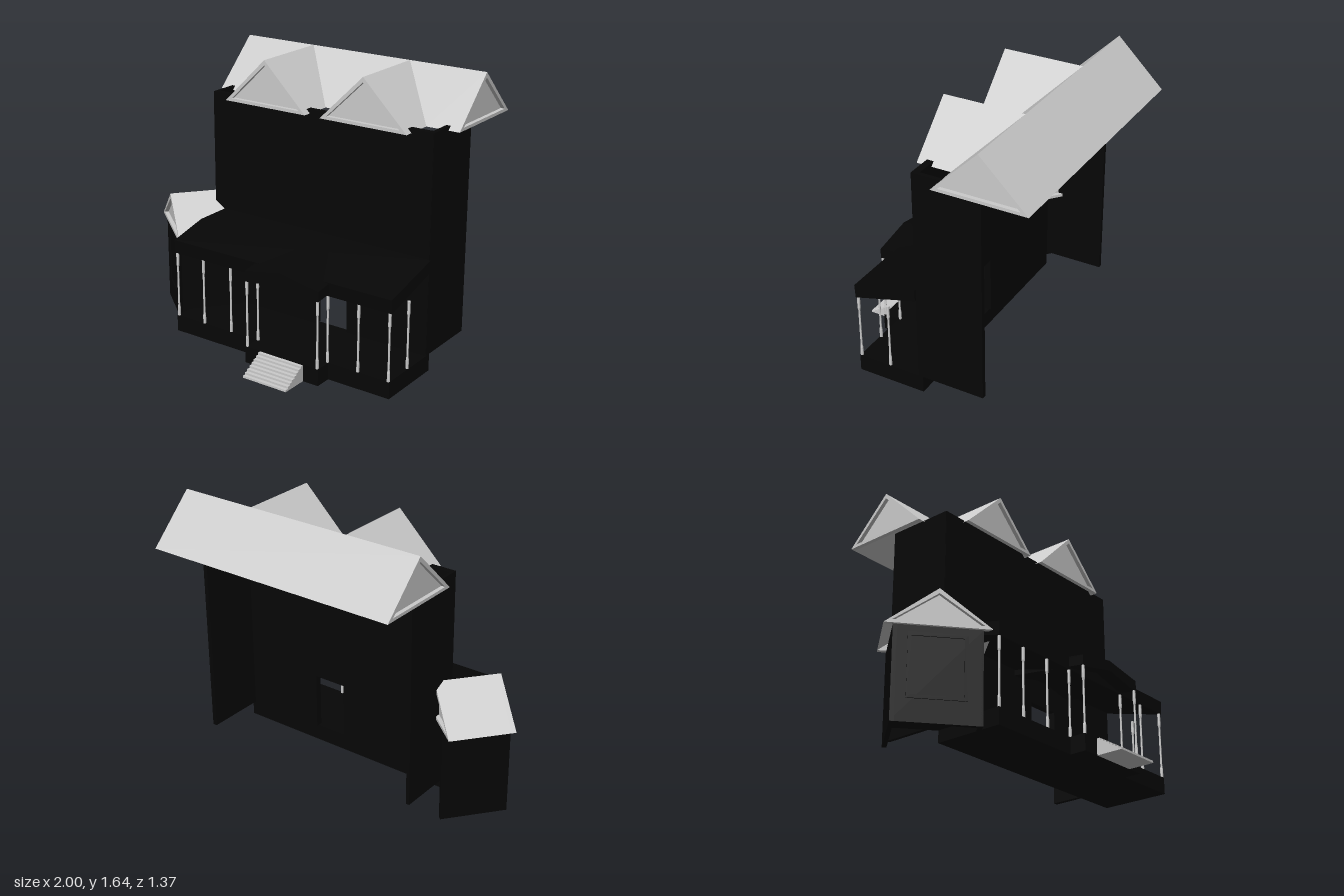
import * as THREE from 'three';

const grey = new THREE.MeshStandardMaterial({ color: 0xcccccc, flatShading: true, side: THREE.DoubleSide });
const dark = new THREE.MeshStandardMaterial({ color: 0x060606, flatShading: true, side: THREE.DoubleSide });

function add(parent, name, geometry, material = dark) {
  const mesh = new THREE.Mesh(geometry, material);
  mesh.name = name;
  parent.add(mesh);
  return mesh;
}

// Box given by its limits on each axis
function box(parent, name, [x0, x1], [y0, y1], [z0, z1], material) {
  const mesh = add(parent, name, new THREE.BoxGeometry(x1 - x0, y1 - y0, z1 - z0), material);
  mesh.position.set((x0 + x1) / 2, (y0 + y1) / 2, (z0 + z1) / 2);
  return mesh;
}

const outline = (pts) => new THREE.Shape(pts.map(([x, y]) => new THREE.Vector2(x, y)));

function extrude(pts, depth, holes = []) {
  const shape = outline(pts);
  holes.forEach((h) => shape.holes.push(outline(h)));
  return new THREE.ExtrudeGeometry(shape, { depth, bevelEnabled: false });
}

// Flat convex sheet through a few corners
function sheet(parent, name, corners) {
  const pos = [];
  for (let i = 1; i < corners.length - 1; i++) pos.push(...corners[0], ...corners[i], ...corners[i + 1]);
  const g = new THREE.BufferGeometry();
  g.setAttribute('position', new THREE.Float32BufferAttribute(pos, 3));
  g.computeVertexNormals();
  return add(parent, name, g, grey);
}

// Triangular gable with a raised rim and a recessed panel, facing +z at z = 0
function gable(parent, w, h) {
  const group = new THREE.Group();
  group.name = 'gable';
  const inner = [[-w + 0.045, 0.018], [w - 0.045, 0.018], [0, h - 0.03]];
  add(group, 'gableRim', extrude([[-w, 0], [w, 0], [0, h]], 0.025, [inner]), grey).position.z = -0.025;
  add(group, 'gablePanel', new THREE.ShapeGeometry(outline(inner)), grey).position.z = -0.024;
  parent.add(group);
  return group;
}

function buildMainRoof(root) {
  const roof = new THREE.Group();
  roof.name = 'mainRoof';
  root.add(roof);
  const L = -0.62, R = 1.0, E = 1.37, T = 1.645, W = 0.28, ridgeZ = -0.405, frontZ = ridgeZ + W, dormerZ = 0.08;
  const dormers = [-0.145, 0.515];
  sheet(roof, 'backSlope', [[R, E, ridgeZ - W], [L, E, ridgeZ - W], [L, T, ridgeZ], [R, T, ridgeZ]]);

  // Front slope pieces lie between the dormer valleys
  const ridge = [L, dormers[0], dormers[0], dormers[1], dormers[1], R];
  const eave = [L, dormers[0] - W, dormers[0] + W, dormers[1] - W, dormers[1] + W, R];
  for (let i = 0; i < 6; i += 2) {
    sheet(roof, 'frontSlope', [[eave[i], E, frontZ], [eave[i + 1], E, frontZ], [ridge[i + 1], T, ridgeZ], [ridge[i], T, ridgeZ]]);
  }
  for (const x of dormers) {
    for (const s of [-1, 1]) {
      const c = [[x, T, ridgeZ], [x + s * W, E, frontZ], [x + s * W, E, dormerZ], [x, T, dormerZ]];
      sheet(roof, 'dormerSlope', s > 0 ? c.reverse() : c);
    }
    gable(roof, W, T - E).position.set(x, E, dormerZ);
  }
  for (const [x, s] of [[L, -1], [R, 1]]) {
    const g = gable(roof, W, T - E);
    g.position.set(x, E, ridgeZ);
    g.rotation.y = s * Math.PI / 2;
  }
}

// Angled side bay with its own gabled roof
function buildBay(root) {
  const bay = new THREE.Group();
  bay.name = 'sideBay';
  bay.position.set(-0.6475, 0, 0.0475);
  bay.rotation.y = -0.687;
  root.add(bay);
  box(bay, 'bayOuterWall', [-0.24, -0.215], [0, 0.54], [-0.215, 0.18]);
  box(bay, 'bayInnerWall', [0.215, 0.24], [0, 0.54], [-0.19, 0.18]);
  box(bay, 'bayFloor', [-0.215, 0.215], [0.07, 0.1], [-0.1, 0.16]);
  box(bay, 'bayFrontWall', [-0.24, 0.24], [0, 0.54], [0.155, 0.18]);
  const frame = extrude([[-0.16, 0.13], [0.16, 0.13], [0.16, 0.5], [-0.16, 0.5]], 0.006,
    [[[-0.14, 0.15], [0.14, 0.15], [0.14, 0.48], [-0.14, 0.48]]]);
  add(bay, 'bayWindowFrame', frame).position.z = 0.18;
  const W = 0.29, E = 0.54, T = 0.76, D = 0.195;
  sheet(bay, 'bayRoofSlope', [[-W, E, -D], [-W, E, D], [0, T, D], [0, T, -D]]);
  sheet(bay, 'bayRoofSlope', [[W, E, D], [W, E, -D], [0, T, -D], [0, T, D]]);
  gable(bay, W, T - E).position.set(0, E, D);
  const back = gable(bay, W, T - E);
  back.position.set(0, E, -D);
  back.rotation.y = Math.PI;
}

function buildPorch(root) {
  const porch = new THREE.Group();
  porch.name = 'porch';
  root.add(porch);
  box(porch, 'porchBase', [-0.55, 0.935], [0, 0.1], [0, 0.42]);
  box(porch, 'entranceBase', [0.04, 0.54], [0, 0.1], [0.42, 0.52]);

  // Sloping roof slab: its side section is swept along x
  const slab = add(porch, 'porchRoof',
    extrude([[-0.03, 0.675], [-0.03, 0.605], [-0.42, 0.5], [-0.425, 0.58]], 1.49));
  slab.rotation.y = Math.PI / 2;
  slab.position.x = -0.55;

  // Low gabled entrance roof, its ridge rising towards the wall
  const hood = extrude([[-0.25, 0.5], [-0.2, 0.5], [0, 0.545], [0.2, 0.5], [0.25, 0.5], [0.25, 0.56], [0, 0.605], [-0.25, 0.56]], 0.49);
  const p = hood.attributes.position;
  for (let i = 0; i < p.count; i++) p.setY(i, p.getY(i) + (0.49 - p.getZ(i)) * 0.143);
  hood.computeVertexNormals();
  add(porch, 'entranceRoof', hood).position.set(0.29, 0, 0.03);

  // Slender turned posts with thicker heads and feet
  const profile = [[0, 0], [0.009, 0], [0.009, 0.05], [0.006, 0.07], [0.006, 0.31], [0.009, 0.325], [0.009, 0.4], [0, 0.4]]
    .map(([r, y]) => new THREE.Vector2(r, y));
  const post = new THREE.LatheGeometry(profile, 8);
  const spots = [-0.54, -0.345, -0.145, 0.05, 0.53, 0.73, 0.925].map((x) => [x, 0.413]);
  spots.push([0.05, 0.512], [0.53, 0.512], [0.925, 0.22]);
  for (const [x, z] of spots) add(porch, 'porchPost', post, grey).position.set(x, 0.1, z);

  // Entrance steps
  for (let i = 0; i < 8; i++) {
    const z = 0.68 - i * 0.02;
    box(porch, 'step', [0.145, 0.44], [0, (i + 1) * 0.0122], [z - 0.02, z], grey);
  }
}

function buildWalls(root) {
  const walls = new THREE.Group();
  walls.name = 'houseWalls';
  root.add(walls);
  // Front wall with a doorway; the rear is open
  add(walls, 'frontWall', extrude([[-0.555, 0.1], [0.19, 0.1], [0.19, 0.45], [0.4, 0.45], [0.4, 0.1],
    [0.93, 0.1], [0.93, 1.392], [-0.555, 1.392]], 0.04)).position.z = -0.01;
  box(walls, 'sideWall', [-0.557, -0.535], [0.1, 1.392], [-0.38, 0.028]);
  box(walls, 'sideWall', [0.905, 0.932], [0.1, 1.392], [-0.38, 0.028]);
}

export function createModel() {
  const root = new THREE.Group();
  root.name = 'house';
  buildWalls(root);
  buildMainRoof(root);
  buildBay(root);
  buildPorch(root);
  return root;
}
